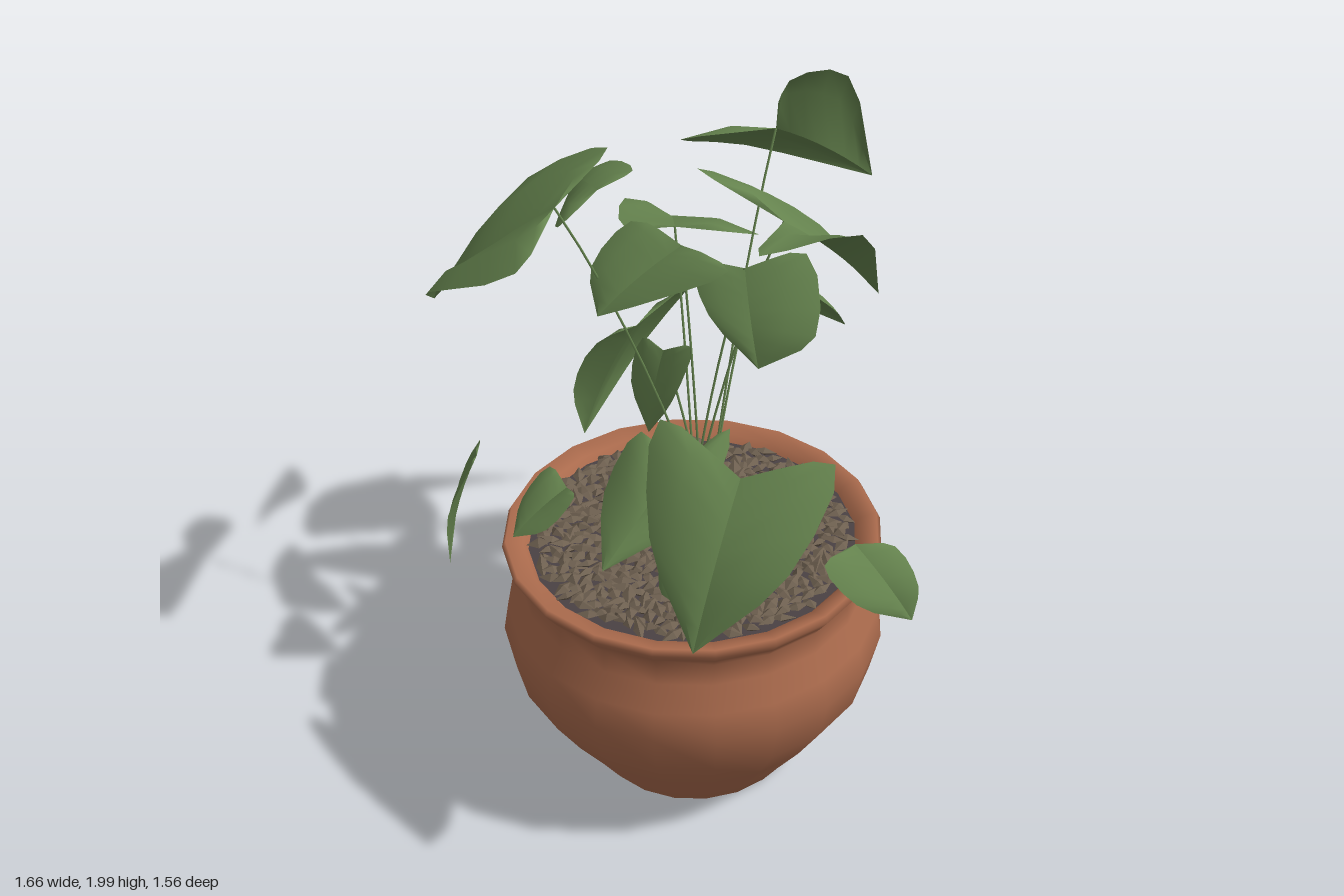
import * as THREE from 'three';
import { mergeGeometries } from 'three/addons/utils/BufferGeometryUtils.js';

const V = (a) => new THREE.Vector3(a[0], a[1], a[2]);
const POT = { x: 0.11, z: 0.22 };

// Each leaf: notch (where the stem joins), tip, then lobe and shoulder of either half
const LEAVES = {
  backTallLeaf: [[-0.2, 1.75, -0.4], [-0.16, 1.47, -0.775],
    [-0.05, 1.99, -0.3], [-0.11, 1.88, -0.6], [-0.38, 1.72, -0.19], [-0.39, 1.6, -0.46]],
  backBroadLeaf: [[0.11, 1.68, -0.13], [0.2, 1.36, -0.43],
    [-0.1, 1.81, 0], [-0.04, 1.6, -0.3], [0.29, 1.76, 0.14], [0.33, 1.7, -0.21]],
  backLowLeaf: [[-0.21, 1.3, -0.33], [-0.13, 1, -0.65],
    [-0.34, 1.22, -0.29], [-0.32, 1.12, -0.46], [-0.03, 1.36, -0.29], [-0.01, 1.2, -0.46]],
  sideUpperLeaf: [[-0.33, 1.48, -0.12], [-0.64, 1.28, -0.37],
    [-0.42, 1.48, -0.01], [-0.61, 1.44, -0.17], [-0.2, 1.42, -0.34], [-0.38, 1.34, -0.39]],
  sideSmallLeaf: [[-0.58, 1.53, -0.04], [-0.83, 1.42, -0.16],
    [-0.57, 1.55, -0.17], [-0.72, 1.51, -0.21], [-0.6, 1.45, 0.1], [-0.73, 1.41, -0.02]],
  sideBigLeaf: [[-0.42, 1.65, 0.25], [-0.8, 1.25, 0.42],
    [-0.43, 1.76, 0.04], [-0.65, 1.62, 0.16], [-0.26, 1.62, 0.52], [-0.64, 1.4, 0.55]],
  frontBigLeaf: [[0.57, 1.36, 0.47], [0.68, 1, 0.74],
    [0.32, 1.44, 0.52], [0.44, 1.2, 0.67], [0.74, 1.41, 0.3], [0.83, 1.24, 0.55]],
  frontCentreLeaf: [[0.1, 1.03, 0.29], [0.12, 0.84, 0.57],
    [0.16, 1.13, 0.12], [0.23, 0.97, 0.3], [0.01, 1.14, 0.32], [-0.03, 0.96, 0.43]],
  middleLeaf: [[-0.1, 1.59, 0.06], [-0.2, 1.41, 0.29],
    [0.1, 1.6, 0.07], [-0.06, 1.49, 0.21], [-0.35, 1.55, 0.03], [-0.34, 1.47, 0.19]],
  middleRightLeaf: [[0.06, 1.55, -0.03], [0.2, 1.32, 0.05],
    [0.18, 1.6, -0.15], [0.31, 1.43, -0.06], [-0.08, 1.53, 0.03], [0.03, 1.43, 0.08]],
  hangingFrontLeaf: [[-0.45, 0.93, 0.56], [-0.55, 0.5, 0.62],
    [-0.54, 0.9, 0.48], [-0.6, 0.72, 0.52], [-0.4, 0.93, 0.63], [-0.48, 0.74, 0.66]],
  hangingSideLeaf: [[-0.42, 1.13, -0.04], [-0.58, 0.69, 0.05],
    [-0.4, 1.2, -0.24], [-0.54, 0.96, -0.18], [-0.44, 1.12, 0.1], [-0.55, 0.9, 0.11]],
  rightSideLeaf: [[0.61, 0.95, 0.07], [0.73, 0.68, -0.05],
    [0.61, 0.94, 0.19], [0.69, 0.82, 0.14], [0.65, 0.9, -0.05], [0.72, 0.78, -0.08]],
  lowLeftLeaf: [[-0.11, 0.97, 0.5], [-0.15, 0.86, 0.67],
    [-0.04, 0.99, 0.53], [-0.06, 0.91, 0.62], [-0.21, 0.98, 0.48], [-0.23, 0.9, 0.57]],
  lowRightLeaf: [[0.33, 0.93, 0.42], [0.22, 0.85, 0.45],
    [0.37, 0.99, 0.38], [0.28, 0.94, 0.39], [0.39, 0.84, 0.48], [0.29, 0.82, 0.5]],
  innerLeaf: [[-0.14, 1.24, 0.1], [-0.12, 1, 0.18],
    [-0.04, 1.29, 0.08], [-0.05, 1.13, 0.15], [-0.23, 1.24, 0.1], [-0.24, 1.1, 0.14]],
};

// Leaves near enough to the crown for their stems to show in full
const STEMMED = ['backLowLeaf', 'backTallLeaf', 'sideUpperLeaf', 'middleLeaf', 'middleRightLeaf',
  'innerLeaf', 'frontCentreLeaf', 'sideBigLeaf', 'backBroadLeaf'];

function leafGeometry([notch, tip, ...sides]) {
  const n = V(notch);
  const along = V(tip).sub(n);
  const len = along.length();
  const normal = along.clone().cross(V(sides[0]).sub(V(sides[2]))).normalize();
  if (normal.y < 0) normal.negate();
  const steps = 9;
  const halves = [sides.slice(0, 2), sides.slice(2)].map(([lobe, shoulder]) => {
    const outline = new THREE.CatmullRomCurve3([n, V(lobe), V(shoulder), V(tip)]);
    const pos = [], index = [];
    for (let i = 0; i <= steps; i++) {
      // Midrib stays at the notch while the outline rounds the lobe
      const t = Math.max(0, (i - 2) / (steps - 2));
      const edge = outline.getPoint(i / steps);
      const rib = n.clone().addScaledVector(along, t).addScaledVector(normal, len * 0.16 * t * (1 - t));
      const mid = rib.clone().lerp(edge, 0.55)
        .addScaledVector(normal, 0.1 * rib.distanceTo(edge));
      pos.push(...rib.toArray(), ...mid.toArray(), ...edge.toArray());
      if (i === 0) continue;
      for (let k = 0; k < 2; k++) {
        const p = (i - 1) * 3 + k, q = i * 3 + k;
        index.push(p, q, p + 1, p + 1, q, q + 1);
      }
    }
    // Keep both halves facing the same way, up along the leaf normal
    if (along.clone().cross(V(lobe).sub(n)).dot(normal) < 0) {
      for (let i = 0; i < index.length; i += 3) {
        [index[i], index[i + 1]] = [index[i + 1], index[i]];
      }
    }
    const g = new THREE.BufferGeometry();
    g.setAttribute('position', new THREE.Float32BufferAttribute(pos, 3));
    g.setIndex(index);
    g.computeVertexNormals();
    return g;
  });
  return mergeGeometries(halves);
}

// Thin stem arching from the soil to the leaf notch
function stemGeometry(notch, i) {
  const end = V(notch);
  const angle = i * 2.4;
  const start = new THREE.Vector3(0.06 + 0.03 * Math.cos(angle), 0.76, 0.15 + 0.03 * Math.sin(angle));
  const bend = start.clone().lerp(end, 0.45);
  bend.y = start.y + (end.y - start.y) * 0.65;
  return new THREE.TubeGeometry(new THREE.QuadraticBezierCurve3(start, bend, end), 8, 0.004, 3);
}

// Overlapping chips covering the soil
function pebbleGeometry() {
  let seed = 7;
  const rand = () => (seed = (seed * 16807) % 2147483647) / 2147483647;
  const chips = [];
  const count = 560;
  for (let i = 0; i < count; i++) {
    const r = 0.455 * Math.sqrt((i + 0.5) / count);
    const a = i * 2.39996;
    const g = new THREE.OctahedronGeometry(1);
    g.scale(0.03 + 0.014 * rand(), 0.012, 0.016 + 0.007 * rand());
    g.rotateZ((rand() - 0.5) * 0.6);
    g.rotateX((rand() - 0.5) * 0.6);
    g.rotateY(rand() * Math.PI * 2);
    g.translate(POT.x + r * Math.cos(a), 0.776 + 0.012 * rand(), POT.z + r * Math.sin(a));
    chips.push(g);
  }
  return mergeGeometries(chips);
}

export function createModel() {
  const model = new THREE.Group();
  model.name = 'pottedPlant';
  const material = (name, color, extra = {}) => {
    const m = new THREE.MeshStandardMaterial({ color, ...extra });
    m.name = name;
    return m;
  };
  const terracotta = material('terracotta', 0xab6b4d, { side: THREE.DoubleSide });
  const soilBrown = material('soilBrown', 0x4a4144);
  const pebbleBrown = material('pebbleBrown', 0x6e6050, { flatShading: true });
  const leafGreen = material('leafGreen', 0x65834e, { side: THREE.DoubleSide });

  const add = (name, geometry, mat, parent = model) => {
    const mesh = new THREE.Mesh(geometry, mat);
    mesh.name = name;
    parent.add(mesh);
    return mesh;
  };

  // Pot: round belly, narrow neck, flared rim
  const profile = [
    [0, 0], [0.29, 0], [0.305, 0.01], [0.365, 0.1], [0.45, 0.22], [0.53, 0.35], [0.56, 0.48],
    [0.545, 0.57], [0.505, 0.645], [0.5, 0.715], [0.525, 0.75], [0.55, 0.785], [0.54, 0.803],
    [0.49, 0.79], [0.465, 0.74],
  ].map(([r, y]) => new THREE.Vector2(r, y));
  add('pot', new THREE.LatheGeometry(profile, 20), terracotta).position.set(POT.x, 0, POT.z);

  // Soil and chips
  const soil = new THREE.CircleGeometry(0.475, 20);
  soil.rotateX(-Math.PI / 2);
  add('soil', soil, soilBrown).position.set(POT.x, 0.77, POT.z);
  add('pebbles', pebbleGeometry(), pebbleBrown);

  // Leaves with their stems
  Object.entries(LEAVES).forEach(([name, points], i) => {
    const group = new THREE.Group();
    group.name = name;
    add('blade', leafGeometry(points), leafGreen, group);
    if (STEMMED.includes(name)) add('stem', stemGeometry(points[0], i), leafGreen, group);
    model.add(group);
  });
  return model;
}
